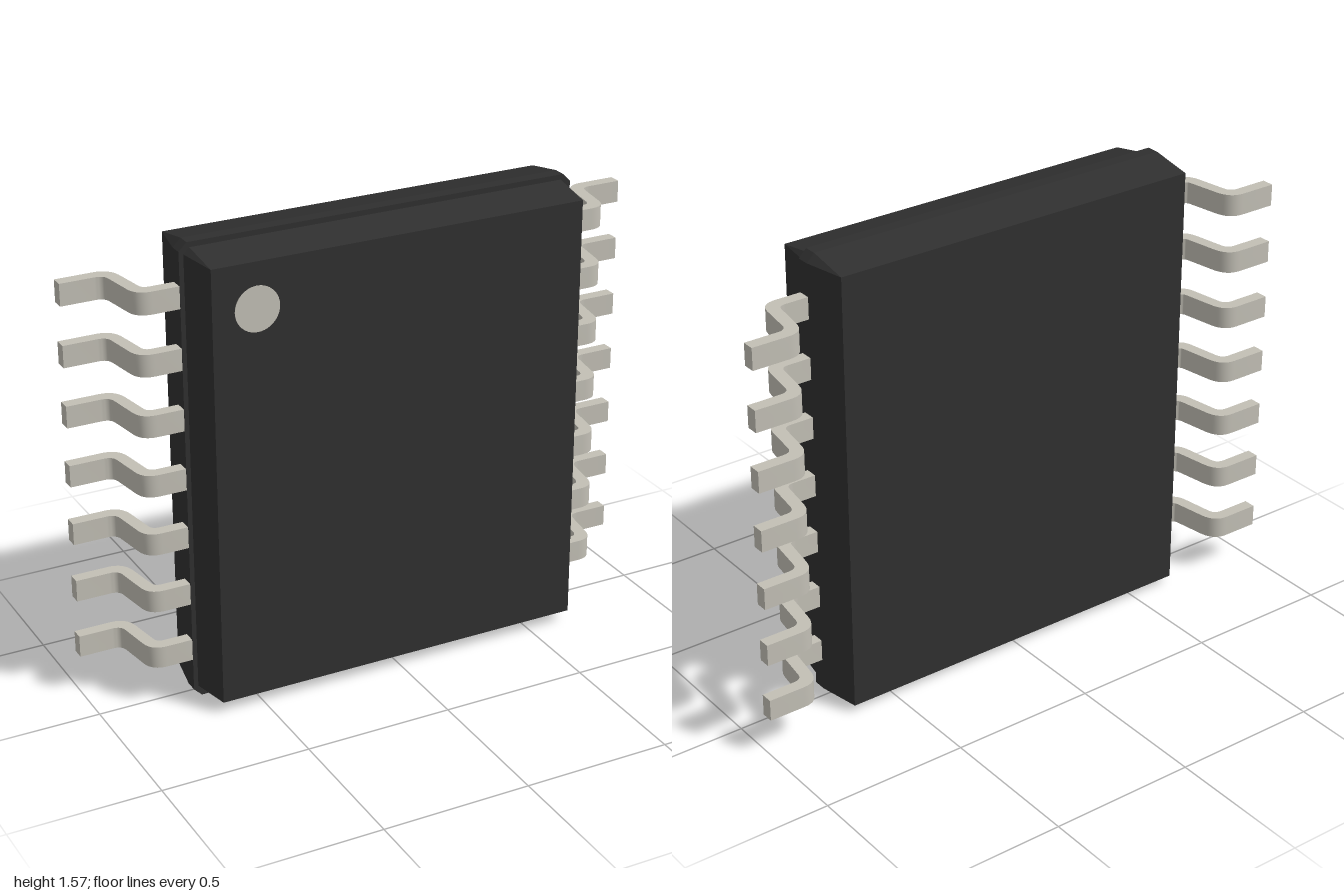
import * as THREE from 'three';
import { toCreasedNormals } from 'three/addons/utils/BufferGeometryUtils.js';

const MID = 0.784; // height of the package centre

// Counter-clockwise rectangle with cut corners at depth z
function ring([hw, hh, cut, z]) {
  return [
    [hw, -hh + cut], [hw, hh - cut], [hw - cut, hh], [-hw + cut, hh],
    [-hw, hh - cut], [-hw, -hh + cut], [-hw + cut, -hh], [hw - cut, -hh],
  ].map(([x, y]) => [x, y, z]);
}

// Faceted solid through sections ordered from back to front
function loft(sections) {
  const rings = sections.map(ring);
  const pos = [];
  const tri = (a, b, c) => pos.push(...a, ...b, ...c);
  for (let s = 0; s < rings.length - 1; s++) {
    const a = rings[s], b = rings[s + 1];
    for (let i = 0; i < 8; i++) {
      const j = (i + 1) % 8;
      tri(a[i], a[j], b[j]);
      tri(a[i], b[j], b[i]);
    }
  }
  const back = rings[0], front = rings[rings.length - 1];
  for (let i = 1; i < 7; i++) {
    tri(back[0], back[i + 1], back[i]);
    tri(front[0], front[i], front[i + 1]);
  }
  const g = new THREE.BufferGeometry();
  g.setAttribute('position', new THREE.Float32BufferAttribute(pos, 3));
  g.computeVertexNormals();
  return g;
}

// Gull-wing lead, side = +1 or -1
function leadGeometry(side) {
  const s = new THREE.Shape();
  const p = (x, z) => [side * x, -z];
  s.moveTo(...p(0.64, 0.042));
  s.lineTo(...p(0.775, 0.042));
  s.quadraticCurveTo(...p(0.828, 0.042), ...p(0.836, -0.01));
  s.lineTo(...p(0.852, -0.12));
  s.quadraticCurveTo(...p(0.857, -0.146), ...p(0.885, -0.146));
  s.lineTo(...p(1, -0.146));
  s.lineTo(...p(1, -0.188));
  s.lineTo(...p(0.875, -0.188));
  s.quadraticCurveTo(...p(0.821, -0.188), ...p(0.811, -0.13));
  s.lineTo(...p(0.794, -0.02));
  s.quadraticCurveTo(...p(0.79, 0), ...p(0.767, 0));
  s.lineTo(...p(0.64, 0));
  s.closePath();
  const g = new THREE.ExtrudeGeometry(s, { depth: 0.074, bevelEnabled: false, curveSegments: 8 });
  g.translate(0, 0, -0.037).rotateX(-Math.PI / 2);
  return toCreasedNormals(g, 0.6);
}

export function createModel() {
  const model = new THREE.Group();
  const plastic = new THREE.MeshStandardMaterial({ color: 0x2f2f2f });
  plastic.name = 'black plastic';
  const metal = new THREE.MeshStandardMaterial({ color: 0xc2bfb5 });
  metal.name = 'dull metal';

  const add = (name, geometry, material, x, y, z) => {
    const m = new THREE.Mesh(geometry, material);
    m.name = name;
    m.position.set(x, y, z);
    model.add(m);
  };

  // Package body: two tapered halves meeting at a stepped seam
  add('backHalf', loft([
    [0.66, 0.757, 0, -0.143],
    [0.687, 0.784, 0.027, 0],
    [0.687, 0.784, 0.027, 0.043],
  ]), plastic, 0, MID, 0);
  add('frontHalf', loft([
    [0.672, 0.767, 0.02, 0.04],
    [0.647, 0.742, 0, 0.186],
  ]), plastic, 0, MID, 0);

  // Orientation mark in the upper corner
  const dot = new THREE.CylinderGeometry(0.075, 0.075, 0.004, 40).rotateX(Math.PI / 2);
  add('orientationDot', dot, metal, -0.498, 1.374, 0.186);

  // Seven leads along each side
  for (const side of [-1, 1]) {
    const geometry = leadGeometry(side);
    for (let i = 0; i < 7; i++) {
      add((side > 0 ? 'leftLead' : 'rightLead') + (i + 1), geometry, metal, 0, MID + (i - 3) * 0.2033, 0);
    }
  }
  return model;
}
